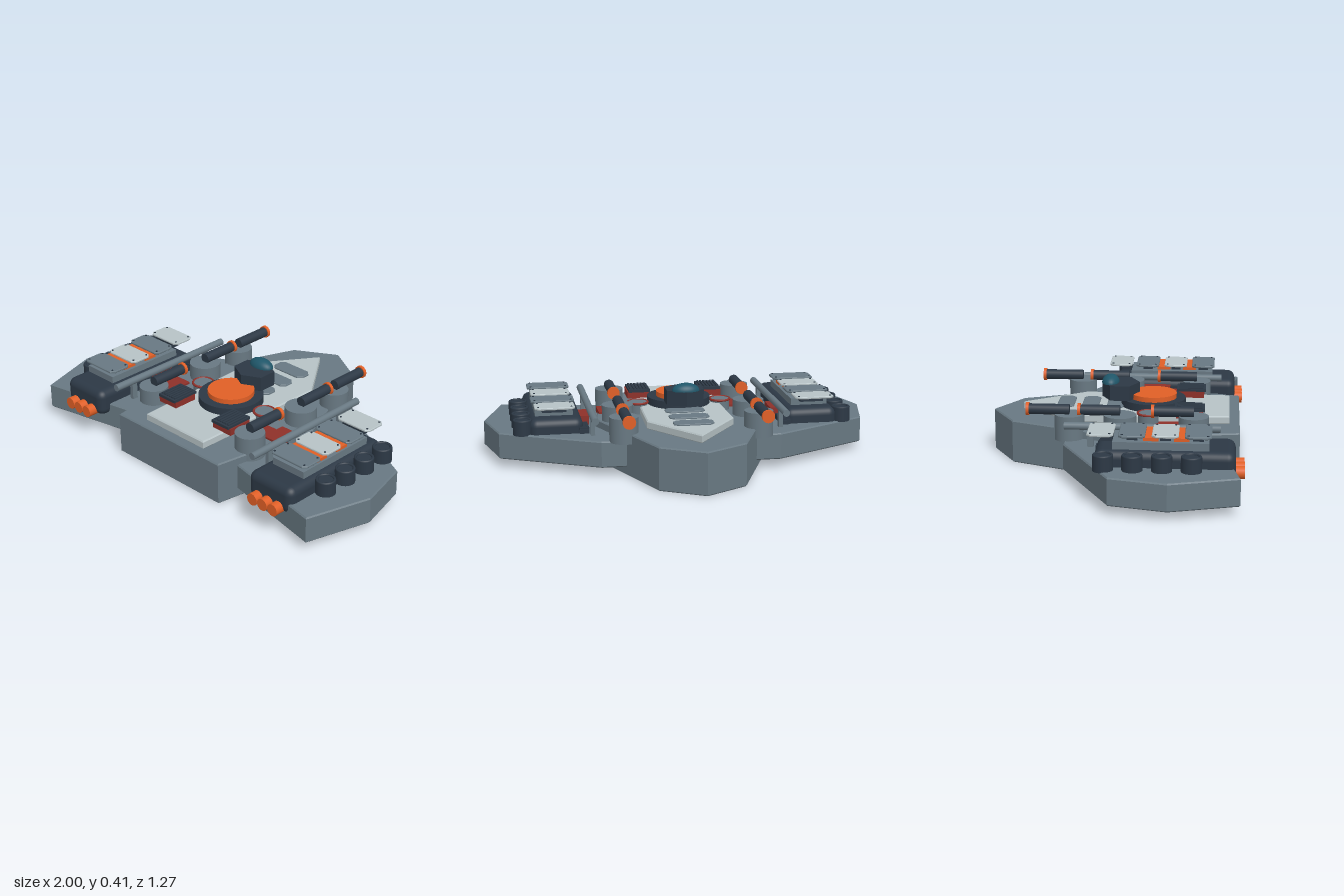
import * as THREE from 'three';
import { RoundedBoxGeometry } from 'three/addons/geometries/RoundedBoxGeometry.js';

const mat = (color, flatShading = false) => new THREE.MeshStandardMaterial({ color, flatShading });
const HULL = mat(0x687882), DARK = mat(0x2c3845), LIGHT = mat(0xb6c2c5);
const ORANGE = mat(0xe05f26), RED = mat(0x8e3029), TEAL = mat(0x1f5669);
const DARK_FLAT = mat(0x2c3845, true);

export function createModel() {
  const model = new THREE.Group();
  model.name = 'gunship';

  const add = (name, geometry, material, x = 0, y = 0, z = 0) => {
    const mesh = new THREE.Mesh(geometry, material);
    mesh.name = name;
    mesh.position.set(x, y, z);
    model.add(mesh);
    return mesh;
  };
  const box = (name, material, w, h, d, x, y, z) =>
    add(name, new THREE.BoxGeometry(w, h, d), material, x, y, z);
  const disc = (name, material, r, y0, y1, x, z, sides = 32) =>
    add(name, new THREE.CylinderGeometry(r, r, y1 - y0, sides), material, x, (y0 + y1) / 2, z);
  const rod = (name, material, r, z0, z1, x, y) =>
    add(name, new THREE.CylinderGeometry(r, r, Math.abs(z1 - z0), 20).rotateX(Math.PI / 2),
      material, x, y, (z0 + z1) / 2);

  // Slab from an (x, z) outline, between heights y0 and y1
  const slab = (name, material, points, y0, y1, bevel = 0.006, x = 0, z = 0) => {
    const shape = new THREE.Shape(points.map(([px, pz]) => new THREE.Vector2(px, pz)));
    const geometry = new THREE.ExtrudeGeometry(shape, {
      depth: y1 - y0 - 2 * bevel, bevelEnabled: true, bevelSegments: 1,
      bevelSize: bevel, bevelThickness: bevel, bevelOffset: -bevel,
    });
    geometry.rotateX(Math.PI / 2);
    return add(name, geometry, material, x, y1 - bevel, z);
  };
  const mirrored = (half) => [...half, ...half.filter(p => p[0] > 0).reverse().map(([x, z]) => [-x, z])];
  // Rectangle with clipped corners
  const clipped = (w, d, c) => mirrored([
    [w / 2 - c, -d / 2], [w / 2, -d / 2 + c], [w / 2, d / 2 - c], [w / 2 - c, d / 2],
  ]);

  // Main hull and deck
  slab('hull', HULL, mirrored([[0, -0.637], [0.212, -0.515], [0.445, 0.06], [0.347, 0.608]]), 0, 0.216);
  slab('deckPlate', LIGHT, mirrored([[0, -0.487], [0.218, -0.18], [0.198, 0.558]]), 0.214, 0.257);
  for (const z of [-0.265, -0.14, -0.015])
    slab('deckHatch', HULL, clipped(0.2, 0.085, 0.022), 0.254, 0.265, 0.003, 0, z);

  // Central turret ring, cabin and dome
  disc('turretRing', DARK, 0.162, 0.255, 0.295, 0, 0.175, 40);
  disc('turretDisc', ORANGE, 0.116, 0.295, 0.32, 0, 0.175, 40);
  disc('cabin', DARK_FLAT, 0.108, 0.295, 0.37, 0, 0.01, 6).scale.z = 0.88;
  add('dome', new THREE.SphereGeometry(1, 28, 10, 0, Math.PI * 2, 0, Math.PI / 2), TEAL, 0, 0.368, -0.042)
    .scale.set(0.07, 0.04, 0.044);

  for (const s of [1, -1]) {
    // Wing
    slab('wing', HULL, [[0.3, -0.235], [0.45, -0.235], [0.935, 0.015], [1, 0.285], [0.9, 0.608], [0.3, 0.485]]
      .map(([x, z]) => [x * s, z]), 0.043, 0.176);

    // Gun mounts with rear-pointing barrels
    for (const [z, tip, r] of [[-0.215, -0.41, 0.072], [0.03, -0.16, 0.079], [0.385, 0.195, 0.073]]) {
      disc('gunMount', HULL, r, 0.17, 0.295, s * 0.337, z);
      rod('gunBarrel', DARK, 0.026, z, tip, s * 0.337, 0.315);
      rod('gunMuzzle', ORANGE, 0.032, tip, tip - 0.015, s * 0.337, 0.315);
    }

    // Long pipe along the wing root
    rod('sidePipe', HULL, 0.018, -0.225, 0.515, s * 0.477, 0.275);
    for (const z of [-0.1, 0.4]) box('pipeBracket', HULL, 0.02, 0.1, 0.03, s * 0.477, 0.22, z);

    // Red deck panels
    box('redPanel', RED, 0.09, 0.03, 0.13, s * 0.373, 0.211, 0.215);
    box('redPanel', RED, 0.13, 0.03, 0.14, s * 0.27, 0.211, 0.262);
    box('redPanel', RED, 0.06, 0.05, 0.14, s * 0.505, 0.198, 0.17);

    // Round port beside the turret
    disc('port', HULL, 0.05, 0.21, 0.272, s * 0.215, 0.16);
    add('portRim', new THREE.TorusGeometry(0.052, 0.006, 8, 32).rotateX(Math.PI / 2), RED, s * 0.215, 0.27, 0.16);

    // Ribbed vents on the deck and wing root
    box('ventBase', RED, 0.118, 0.035, 0.13, s * 0.19, 0.272, 0.362);
    box('ventCover', DARK, 0.112, 0.014, 0.148, s * 0.187, 0.295, 0.362);
    for (let i = 0; i < 6; i++)
      box('ventRib', DARK, 0.01, 0.008, 0.124, s * (0.145 + i * 0.017), 0.305, 0.362);
    box('wingVent', DARK, 0.05, 0.025, 0.13, s * 0.515, 0.185, -0.005);
    for (let i = 0; i < 6; i++)
      box('wingVentRib', DARK, 0.05, 0.012, 0.01, s * 0.515, 0.2, -0.055 + i * 0.02);

    // Engine pod with front nozzles
    add('pod', new RoundedBoxGeometry(0.27, 0.137, 0.645, 4, 0.04), DARK, s * 0.652, 0.183, 0.264);
    box('podSpine', HULL, 0.19, 0.04, 0.44, s * 0.658, 0.266, 0.245);
    for (const dx of [-0.063, 0, 0.063])
      rod('nozzle', ORANGE, 0.03, 0.56, 0.628, s * (0.65 + dx), 0.142);

    // Armour plates above the pod, with orange strips between them
    [-0.032, 0.113, 0.265, 0.415].forEach((z, i) => {
      const w = i % 2 ? 0.218 : 0.2;
      slab('podPlate', i % 2 ? HULL : LIGHT, clipped(w, 0.122, 0.018), 0.308, 0.32, 0.003, s * 0.66, z);
      for (const bx of [-1, 1]) for (const bz of [-1, 1])
        disc('bolt', DARK, 0.005, 0.318, 0.323, s * 0.66 + bx * (w / 2 - 0.018), z + bz * 0.044, 8);
      box('plateSupport', DARK, 0.12, 0.03, 0.05, s * 0.66, 0.295, z + (i ? 0 : 0.03));
    });
    for (const z of [0.2, 0.34]) box('podStrip', ORANGE, 0.18, 0.015, 0.07, s * 0.66, 0.3, z);

    // Row of canisters along the pod's outer side
    for (const z of [-0.012, 0.12, 0.253, 0.387]) {
      disc('canister', DARK, 0.048, 0.172, 0.243, s * 0.818, z, 24);
      add('canisterRim', new THREE.TorusGeometry(0.041, 0.007, 8, 24).rotateX(Math.PI / 2), DARK, s * 0.818, 0.243, z);
      box('canisterLink', DARK, 0.08, 0.03, 0.04, s * 0.77, 0.21, z);
    }
  }
  return model;
}
